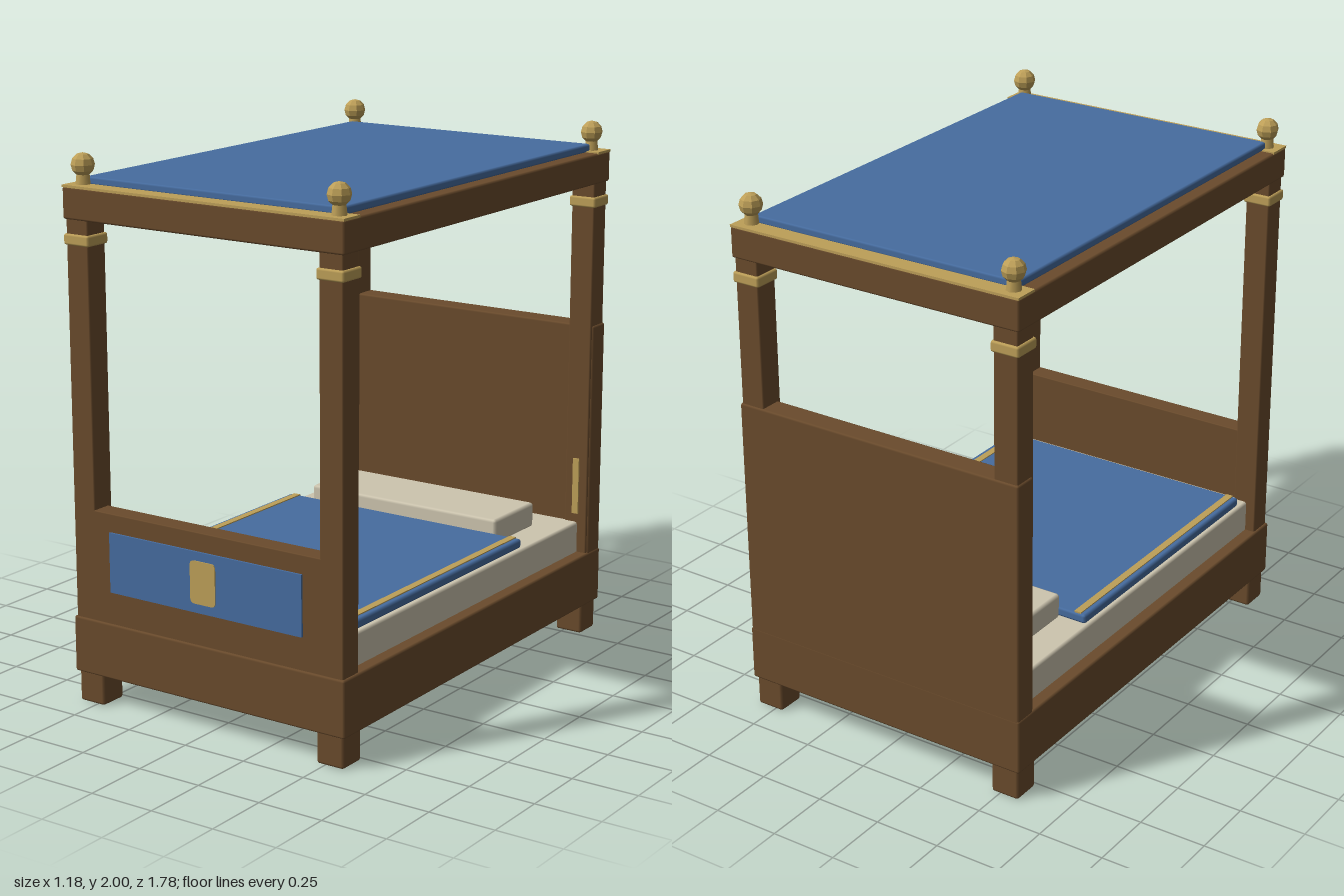
import * as THREE from 'three';
import { RoundedBoxGeometry } from 'three/addons/geometries/RoundedBoxGeometry.js';

export function createModel() {
  const model = new THREE.Group();
  model.name = 'fourPosterBed';

  const material = (name, color) => {
    const m = new THREE.MeshStandardMaterial({ color });
    m.name = name;
    return m;
  };
  const wood = material('brownWood', 0x6a4b2c);
  const blue = material('blueCloth', 0x466c9f);
  const gold = material('goldTrim', 0xbd9f58);
  const linen = material('creamLinen', 0xcdc5af);

  const add = (name, geometry, mat, x = 0, y = 0, z = 0) => {
    const mesh = new THREE.Mesh(geometry, mat);
    mesh.name = name;
    mesh.position.set(x, y, z);
    model.add(mesh);
    return mesh;
  };

  // Box given by its limits on each axis, with a small bevel when r > 0
  const box = (name, mat, [x0, x1], [y0, y1], [z0, z1], r = 0.008) => {
    const size = [x1 - x0, y1 - y0, z1 - z0];
    const geometry = r > 0 ? new RoundedBoxGeometry(...size, 1, r) : new THREE.BoxGeometry(...size);
    return add(name, geometry, mat, (x0 + x1) / 2, (y0 + y1) / 2, (z0 + z1) / 2);
  };
  const around = (c, half) => [c - half, c + half];

  // Base and end boards
  box('base', wood, [-0.588, 0.588], [0.115, 0.325], [-0.885, 0.885]);
  box('headboard', wood, [-0.585, 0.585], [0.3, 1.225], [-0.884, -0.793]);
  box('footboard', wood, [-0.5, 0.5], [0.31, 0.735], [0.8, 0.878], 0.004);

  // Footboard panel with a rounded badge
  box('footboardPanel', blue, [-0.415, 0.415], [0.445, 0.667], [0.877, 0.886], 0);
  const w = 0.054, h = 0.078, c = 0.018;
  const badge = new THREE.Shape();
  badge.moveTo(-w + c, -h).lineTo(w - c, -h).quadraticCurveTo(w, -h, w, -h + c);
  badge.lineTo(w, h - c).quadraticCurveTo(w, h, w - c, h);
  badge.lineTo(-w + c, h).quadraticCurveTo(-w, h, -w, h - c);
  badge.lineTo(-w, -h + c).quadraticCurveTo(-w, -h, -w + c, -h);
  add('footboardBadge', new THREE.ExtrudeGeometry(badge, { depth: 0.005, bevelEnabled: false, curveSegments: 4 }),
    gold, 0, 0.557, 0.885);

  // Bedding
  box('mattress', linen, [-0.54, 0.54], [0.31, 0.445], [-0.8, 0.805], 0.01);
  box('pillow', linen, [-0.42, 0.42], [0.44, 0.537], [-0.655, -0.368], 0.012);
  box('blanket', blue, [-0.53, 0.53], [0.447, 0.483], [-0.376, 0.735], 0.01);

  // Canopy cloth
  box('canopyCloth', blue, [-0.54, 0.54], [1.885, 1.915], [-0.818, 0.818], 0.008);

  // Rails, trims and blanket edging on both sides and both ends
  for (const s of [-1, 1]) {
    box('sideRail', wood, around(s * 0.541, 0.047), [1.77, 1.885], [-0.884, 0.884]);
    box('endRail', wood, [-0.588, 0.588], [1.77, 1.885], around(s * 0.838, 0.047));
    box('endRailTrim', gold, [-0.588, 0.588], [1.881, 1.89], around(s * 0.838, 0.047), 0);
    box('blanketEdging', gold, around(s * 0.495, 0.014), [0.48, 0.487], [-0.37, 0.73], 0);
    box('headPostInlay', gold, around(s * 0.532, 0.013), [0.48, 0.7], [-0.787, -0.777], 0);
  }

  // Foot, post, collar and finial at each corner
  const ball = new THREE.SphereGeometry(0.042, 8, 6).toNonIndexed();
  ball.computeVertexNormals();
  const neck = new THREE.CylinderGeometry(0.022, 0.028, 0.05, 8);
  for (const sx of [-1, 1]) {
    for (const sz of [-1, 1]) {
      const x = sx * 0.532, z = sz * 0.831;
      box('foot', wood, around(sx * 0.522, 0.055), [0, 0.125], around(sz * 0.82, 0.055), 0.01);
      box('post', wood, around(x, 0.047), [0.3, 1.78], around(z, 0.047), 0.005);
      box('collar', gold, around(x, 0.055), [1.68, 1.72], around(z, 0.055), 0.008);
      add('finialNeck', neck, gold, sx * 0.535, 1.905, sz * 0.833);
      add('finial', ball, gold, sx * 0.535, 1.958, sz * 0.833);
    }
  }
  return model;
}
